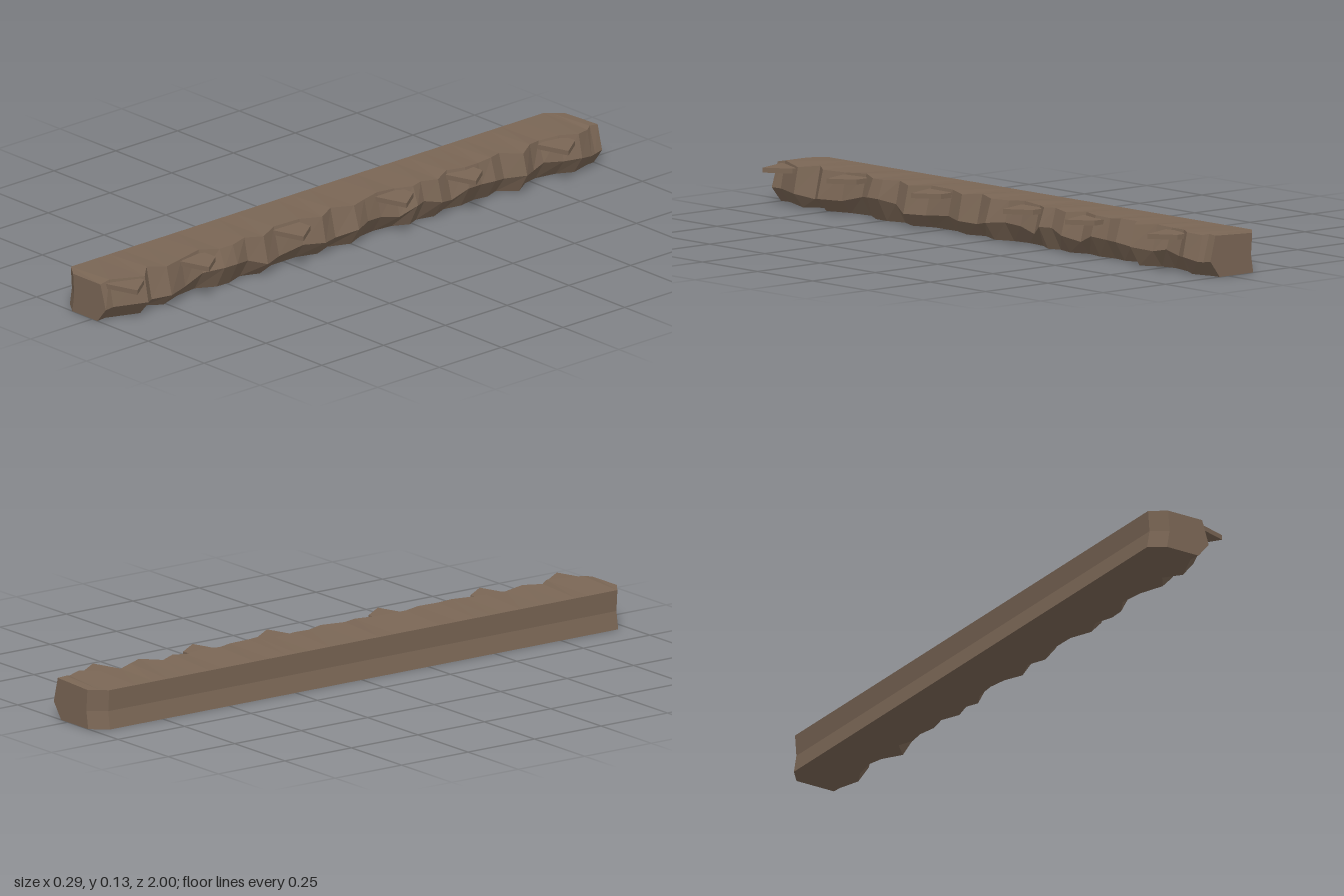
import * as THREE from 'three';

// Broken edge, front to back along z: [z, outermost x, height of the ridge]
const EDGE = [
  [-1, 0.07, 0.05], [-0.97, 0.072, 0.045], [-0.95, 0.078, 0.045], [-0.9, 0.092, 0.055],
  [-0.85, 0.065, 0.05], [-0.78, 0.052, 0.06], [-0.73, 0.062, 0.05], [-0.67, 0.1, 0.06],
  [-0.62, 0.052, 0.05], [-0.57, 0.07, 0.06], [-0.52, 0.062, 0.06], [-0.46, 0.072, 0.065],
  [-0.4, 0.06, 0.04], [-0.34, 0.085, 0.055], [-0.28, 0.07, 0.07], [-0.24, 0.086, 0.07],
  [-0.19, 0.06, 0.04], [-0.12, 0.053, 0.055], [-0.06, 0.062, 0.06], [0, 0.088, 0.055],
  [0.07, 0.06, 0.04], [0.13, 0.083, 0.045], [0.2, 0.06, 0.05], [0.3, 0.062, 0.04],
  [0.37, 0.09, 0.04], [0.43, 0.066, 0.06], [0.49, 0.086, 0.07], [0.54, 0.085, 0.07],
  [0.6, 0.052, 0.06], [0.68, 0.062, 0.04], [0.76, 0.09, 0.04], [0.81, 0.055, 0.03],
  [0.86, 0.096, 0.045], [0.965, 0.055, 0.045], [1, 0.06, 0.045],
];

// Left side with the two clipped corners
function leftX(z) {
  if (z < -0.95) return -0.14 + (-0.95 - z) * 0.85;
  if (z > 0.965) return -0.135 + (z - 0.965) * 1.4;
  return -0.14 + (z + 0.95) * 0.0026;
}

// Loft of six-sided cross-sections along the plank
function plankGeometry() {
  const rings = EDGE.map(([z, x, ridge], i) => {
    const l = leftX(z);
    const top = z === 1 ? 0.121 : 0.127 + 0.003 * Math.sin(i * 2.3);
    const inset = 0.02 + 0.004 * Math.sin(i * 1.7);
    return [
      [l - 0.004, 0, z], [x - 0.037, 0, z], [x, ridge, z],
      [x - inset, top, z], [l, 0.121, z], [l + 0.005, 0.055, z],
    ];
  });
  const p = [];
  const tri = (a, b, c) => p.push(...a, ...b, ...c);
  for (let k = 0; k < rings.length - 1; k++) {
    const a = rings[k], c = rings[k + 1];
    for (let i = 0; i < 6; i++) {
      const j = (i + 1) % 6;
      tri(a[i], a[j], c[i]);
      tri(a[j], c[j], c[i]);
    }
  }
  // End caps, fanned from the ridge point
  const first = rings[0], last = rings[rings.length - 1];
  for (let n = 1; n < 5; n++) {
    const i = (2 + n) % 6, j = (3 + n) % 6;
    tri(last[2], last[i], last[j]);
    tri(first[2], first[j], first[i]);
  }
  const g = new THREE.BufferGeometry();
  g.setAttribute('position', new THREE.Float32BufferAttribute(p, 3));
  g.computeVertexNormals();
  return g;
}

// Flat splinter sticking out of the broken edge
function splinterGeometry() {
  const s = new THREE.Shape();
  s.moveTo(0.022, 0.06);
  s.lineTo(0.04, -0.045);
  s.lineTo(0.143, -0.012);
  s.lineTo(0.09, 0.063);
  s.closePath();
  const g = new THREE.ExtrudeGeometry(s, { depth: 0.015, bevelEnabled: false });
  return g.rotateX(-Math.PI / 2);
}

export function createModel() {
  const model = new THREE.Group();
  model.name = 'brokenPlank';
  const wood = new THREE.MeshStandardMaterial({ color: 0x7a6655 });
  wood.name = 'wood brown';

  const plank = new THREE.Mesh(plankGeometry(), wood);
  plank.name = 'plank';
  model.add(plank);

  const splinter = splinterGeometry();
  [-0.81, -0.435, -0.155, 0.262, 0.645, 0.935].forEach((z, i) => {
    const mesh = new THREE.Mesh(splinter, wood);
    mesh.name = `splinter${i + 1}`;
    mesh.position.set(0, 0.104, z);
    model.add(mesh);
  });
  return model;
}
